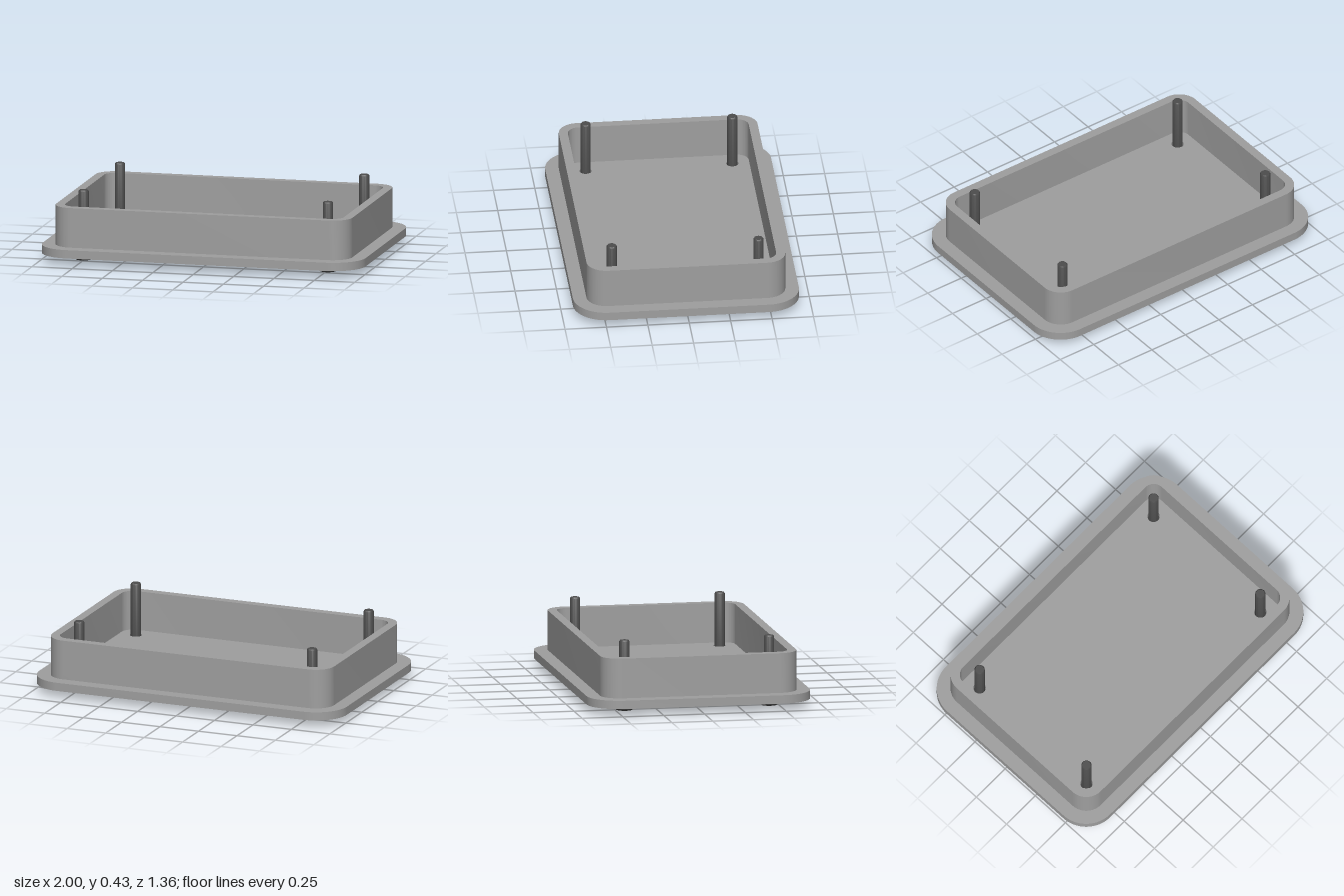
import * as THREE from 'three';
import { toCreasedNormals } from 'three/addons/utils/BufferGeometryUtils.js';

const BOLT_X = 0.757, BOLT_Z = 0.443, PLATE_Y = 0.047;
const boltSpots = [[1, 1], [-1, 1], [-1, -1], [1, -1]].map(([sx, sz]) => [sx * BOLT_X, sz * BOLT_Z]);

// Rounded rectangle given by half sizes and corner radius
function roundedRect(w, d, r, target = new THREE.Shape()) {
  target.moveTo(w, -d + r);
  target.absarc(w - r, d - r, r, 0, Math.PI / 2);
  target.absarc(-w + r, d - r, r, Math.PI / 2, Math.PI);
  target.absarc(-w + r, -d + r, r, Math.PI, Math.PI * 1.5);
  target.absarc(w - r, -d + r, r, Math.PI * 1.5, Math.PI * 2);
  return target;
}

// Extrude a plan shape upwards from y0 to y1
function slab(shape, y0, y1) {
  const geo = new THREE.ExtrudeGeometry(shape, { depth: y1 - y0, bevelEnabled: false, curveSegments: 16 });
  geo.rotateX(-Math.PI / 2).translate(0, y0, 0);
  return toCreasedNormals(geo, 0.5);
}

function named(name, geometry, material) {
  const mesh = new THREE.Mesh(geometry, material);
  mesh.name = name;
  return mesh;
}

// Socket-head bolt, head down, standing on y = 0
function createBolt(material, socketMaterial) {
  const bolt = new THREE.Group();
  const headR = 0.058, faceR = 0.041, socketR = 0.03, socketDepth = 0.028, rodR = 0.031;

  const profile = [];
  for (let i = 0; i <= 5; i++) {
    const a = (i / 5) * Math.PI / 2;
    profile.push(new THREE.Vector2(faceR + (headR - faceR) * Math.sin(a), 0.02 * (1 - Math.cos(a))));
  }
  for (const [r, y] of [[headR, PLATE_Y], [rodR, PLATE_Y], [rodR, 0.417], [0.026, 0.425], [0, 0.425]])
    profile.push(new THREE.Vector2(r, y));
  bolt.add(named('boltBody', toCreasedNormals(new THREE.LatheGeometry(profile, 32), 0.6), material));

  // Underside ring with a hexagonal opening
  const face = new THREE.Shape().absarc(0, 0, faceR, 0, Math.PI * 2);
  const hex = [];
  for (let i = 0; i < 6; i++) {
    const a = i * Math.PI / 3;
    hex.push(new THREE.Vector2(socketR * Math.sin(a), socketR * Math.cos(a)));
  }
  face.holes.push(new THREE.Path(hex));
  bolt.add(named('boltFace', new THREE.ShapeGeometry(face, 16).rotateX(Math.PI / 2), material));

  // Hex socket, seen from the inside
  const socket = new THREE.CylinderGeometry(socketR, socketR, socketDepth, 6, 1, true);
  socket.translate(0, socketDepth / 2, 0);
  bolt.add(named('socketWalls', toCreasedNormals(socket, 0.5), socketMaterial));
  const end = new THREE.CircleGeometry(socketR, 6, Math.PI / 2).rotateX(Math.PI / 2);
  bolt.add(named('socketEnd', end.translate(0, socketDepth, 0), material));
  return bolt;
}

export function createModel() {
  const group = new THREE.Group();
  const body = new THREE.MeshStandardMaterial({ color: 0x9f9f9f });
  const dark = new THREE.MeshStandardMaterial({ color: 0x4d4d4d });
  const darkInside = new THREE.MeshStandardMaterial({ color: 0x4d4d4d, side: THREE.DoubleSide });

  // Base plate with clearance holes
  const plate = roundedRect(1, 0.682, 0.2);
  for (const [x, z] of boltSpots)
    plate.holes.push(new THREE.Path().absarc(x, z, 0.037, 0, Math.PI * 2, true));
  group.add(named('basePlate', slab(plate, PLATE_Y, 0.098), body));

  // Raised rim wall
  const wall = roundedRect(0.917, 0.6, 0.12);
  wall.holes.push(roundedRect(0.863, 0.546, 0.07, new THREE.Path()));
  group.add(named('rimWall', slab(wall, 0.098, 0.34), body));

  // Four bolts through the plate
  for (const [x, z] of boltSpots) {
    const bolt = createBolt(dark, darkInside);
    bolt.name = 'bolt';
    bolt.position.set(x, 0, z);
    group.add(bolt);
  }
  return group;
}
